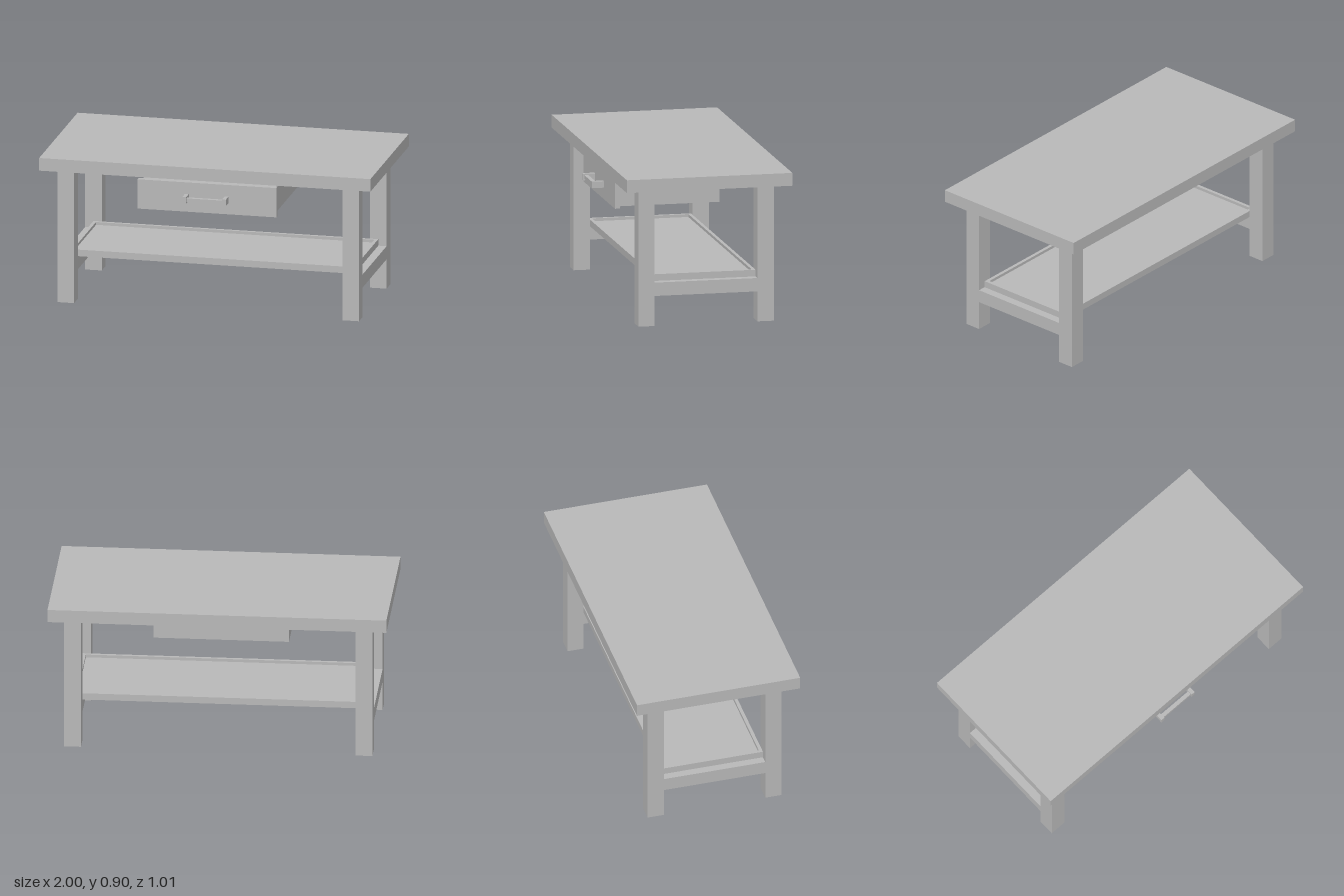
import * as THREE from 'three';

export function createModel() {
  const table = new THREE.Group();
  table.name = 'table';
  const grey = new THREE.MeshStandardMaterial({ color: 0xb8b8b8 });
  grey.name = 'grey';

  // Box given by its lower and upper limits on each axis
  const box = (name, [x0, x1], [y0, y1], [z0, z1], parent = table) => {
    const mesh = new THREE.Mesh(new THREE.BoxGeometry(x1 - x0, y1 - y0, z1 - z0), grey);
    mesh.position.set((x0 + x1) / 2, (y0 + y1) / 2, (z0 + z1) / 2);
    mesh.name = name;
    parent.add(mesh);
    return mesh;
  };
  const group = (name) => {
    const g = new THREE.Group();
    g.name = name;
    table.add(g);
    return g;
  };

  const front = 0.305, back = -0.315; // inner faces of the legs

  box('tabletop', [-1, 1], [0.823, 0.9], [-0.505, 0.493]);

  // Legs and the side rails joining them
  for (const [side, x] of [['left', [0.81, 0.91]], ['right', [-0.91, -0.81]]]) {
    box(side + 'FrontLeg', x, [0, 0.823], [front, 0.403]);
    box(side + 'BackLeg', x, [0, 0.823], [-0.414, back]);
    box(side + 'Rail', x, [0.18, 0.26], [back, front]);
  }

  // Lower shelf: a shallow tray with a raised rim
  const shelf = group('shelf');
  const end = 0.86, rim = 0.02;
  box('shelfFloor', [-end, end], [0.26, 0.283], [back, front], shelf);
  box('shelfFrontRim', [-end, end], [0.283, 0.3], [front - rim, front], shelf);
  box('shelfBackRim', [-end, end], [0.283, 0.3], [back, back + rim], shelf);
  box('shelfLeftRim', [end - rim, end], [0.283, 0.3], [back + rim, front - rim], shelf);
  box('shelfRightRim', [-end, rim - end], [0.283, 0.3], [back + rim, front - rim], shelf);

  // Drawer with its front panel and pull handle
  const drawer = group('drawer');
  box('drawerBox', [-0.4, 0.4], [0.622, 0.78], [-0.203, 0.403], drawer);
  box('drawerPanel', [-0.42, 0.418], [0.612, 0.791], [0.403, 0.433], drawer);
  box('handleRightPost', [-0.133, -0.11], [0.682, 0.721], [0.433, 0.505], drawer);
  box('handleLeftPost', [0.107, 0.13], [0.682, 0.721], [0.433, 0.505], drawer);
  box('handleBar', [-0.11, 0.107], [0.69, 0.712], [0.473, 0.497], drawer);

  return table;
}
